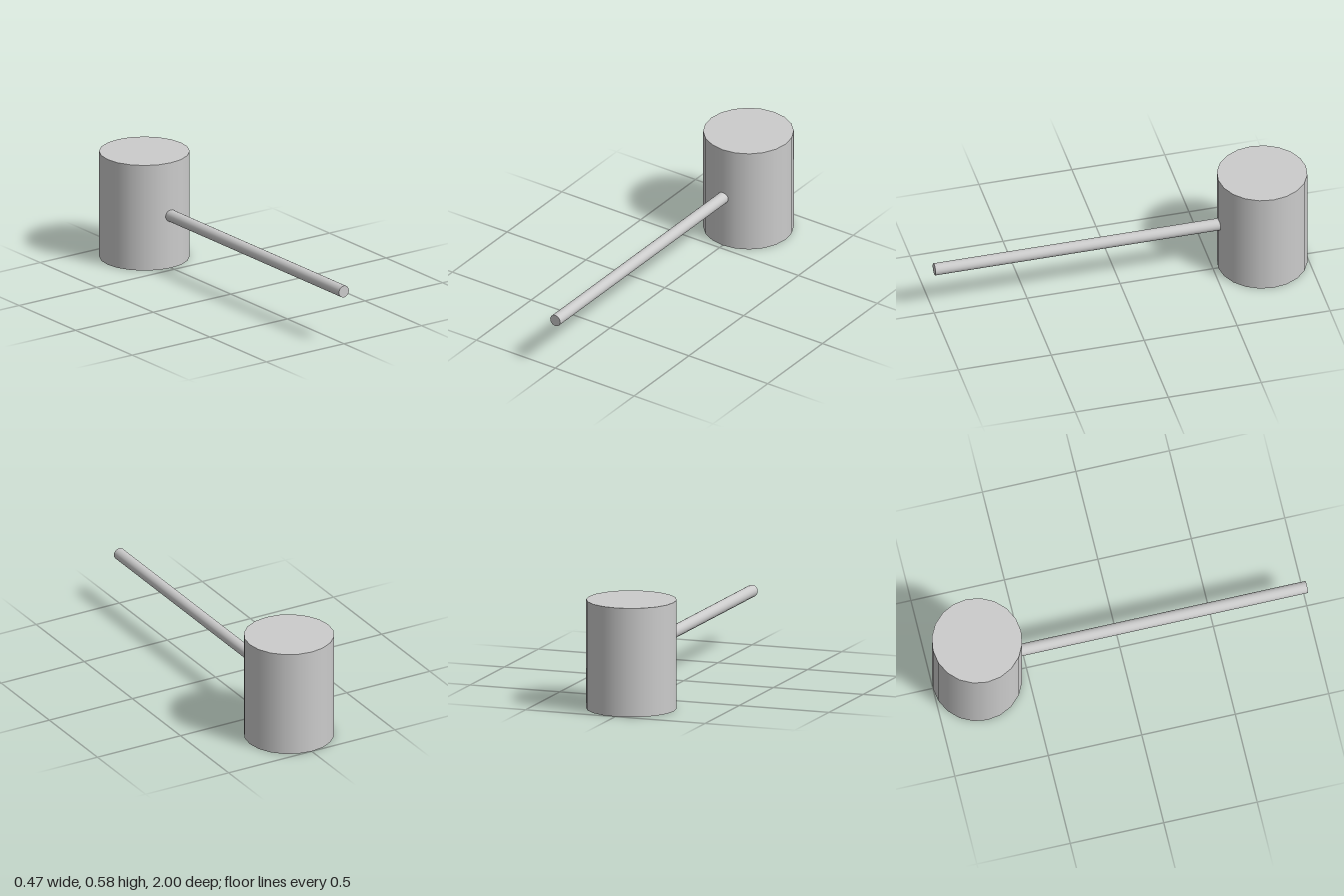
import * as THREE from 'three';

export function createModel() {
  const group = new THREE.Group();
  group.name = 'mallet';
  const material = new THREE.MeshStandardMaterial({ color: 0xcccccc });

  const headRadius = 0.236, headHeight = 0.578;
  const headZ = -1 + headRadius;

  // Upright drum-shaped head
  const head = new THREE.Mesh(
    new THREE.CylinderGeometry(headRadius, headRadius, headHeight, 20), material);
  head.name = 'head';
  head.position.set(0, headHeight / 2, headZ);
  group.add(head);

  // Handle running forward from the head, set slightly into its wall
  const handleBack = headZ + headRadius - 0.01;
  const handleLength = 1 - handleBack;
  const handle = new THREE.Mesh(
    new THREE.CylinderGeometry(0.032, 0.032, handleLength, 20), material);
  handle.name = 'handle';
  handle.rotation.x = Math.PI / 2;
  handle.position.set(0, 0.287, handleBack + handleLength / 2);
  group.add(handle);

  return group;
}
